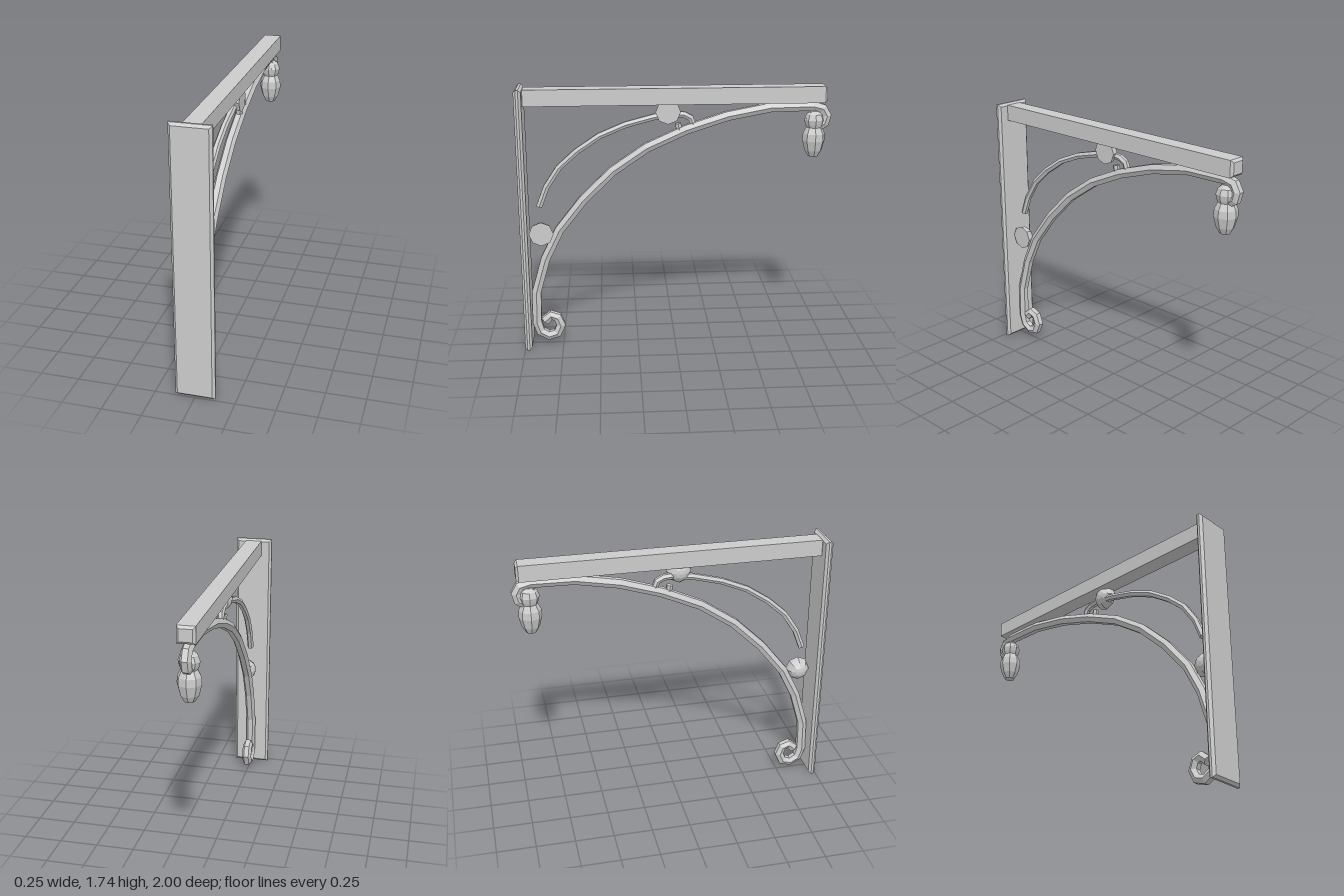
import * as THREE from 'three';

const material = new THREE.MeshStandardMaterial({ color: 0xcccccc, flatShading: true, side: THREE.DoubleSide });

function add(parent, name, geometry, x = 0, y = 0, z = 0) {
  const mesh = new THREE.Mesh(geometry, material);
  mesh.name = name;
  mesh.position.set(x, y, z);
  parent.add(mesh);
  return mesh;
}

// Box with a single chamfer on every edge, centred on its origin
function chamferBox(w, h, d, b) {
  const x = w / 2 - b, y = h / 2 - b;
  const shape = new THREE.Shape([[-x, -y], [x, -y], [x, y], [-x, y]].map(p => new THREE.Vector2(...p)));
  return new THREE.ExtrudeGeometry(shape, {
    depth: d - 2 * b, bevelThickness: b, bevelSize: b, bevelSegments: 1,
  }).translate(0, 0, b - d / 2);
}

// Hexagonal bar bent through [z, y] points, one segment per point, with closed ends
function bentBar(parent, name, points, radius) {
  const bar = new THREE.Group();
  bar.name = name;
  parent.add(bar);
  const curve = new THREE.CatmullRomCurve3(points.map(([z, y]) => new THREE.Vector3(0, y, z)));
  curve.getUtoTmapping = u => u;
  add(bar, name + 'Bar', new THREE.TubeGeometry(curve, points.length - 1, radius, 6));
  for (const t of [0, 1]) {
    const p = curve.getPoint(t);
    const cap = add(bar, name + 'End', new THREE.CircleGeometry(radius, 6), p.x, p.y, p.z);
    cap.lookAt(p.clone().addScaledVector(curve.getTangent(t), t ? 1 : -1));
  }
}

export function createModel() {
  const model = new THREE.Group();
  model.name = 'wallBracket';

  // Wall plate and horizontal arm
  add(model, 'wallPlate', chamferBox(0.25, 1.735, 0.047, 0.016), 0, 0.8675, 0.9765);
  add(model, 'arm', chamferBox(0.11, 0.105, 1.93, 0.015), 0, 1.672, 0);

  // Large brace: lower scroll, long sweep, upper scroll
  bentBar(model, 'mainScroll', [
    [0.871, 0.16], [0.828, 0.198], [0.785, 0.182], [0.764, 0.128], [0.79, 0.07], [0.845, 0.053],
    [0.9, 0.085], [0.922, 0.155], [0.917, 0.37], [0.85, 0.6], [0.753, 0.797], [0.592, 1.0],
    [0.4, 1.187], [0.18, 1.337], [-0.07, 1.45], [-0.335, 1.535], [-0.61, 1.587], [-0.88, 1.592],
    [-0.945, 1.575], [-0.97, 1.53], [-0.957, 1.482], [-0.92, 1.46], [-0.88, 1.472], [-0.865, 1.51],
    [-0.888, 1.542],
  ], 0.034);

  // Thin inner scroll
  bentBar(model, 'innerScroll', [
    [0.877, 0.957], [0.828, 1.085], [0.743, 1.214], [0.625, 1.32], [0.48, 1.417], [0.314, 1.487],
    [0.131, 1.535], [0.0, 1.553], [-0.06, 1.547], [-0.1, 1.525], [-0.115, 1.487], [-0.095, 1.45],
    [-0.056, 1.436], [-0.026, 1.452], [-0.02, 1.492],
  ], 0.022);

  // Half-round bosses, flat side to the left
  for (const [y, z] of [[0.78, 0.87], [1.572, 0.045]]) {
    const boss = new THREE.Group();
    boss.name = 'boss';
    boss.position.set(0.04, y, z);
    boss.rotation.z = Math.PI / 2;
    add(boss, 'bossDome', new THREE.SphereGeometry(0.08, 8, 4, 0, Math.PI * 2, 0, Math.PI / 2));
    add(boss, 'bossFace', new THREE.CircleGeometry(0.08, 8).rotateX(Math.PI / 2));
    model.add(boss);
  }

  // Hanging drop at the tip
  const profile = [
    [0, 1.265], [0.033, 1.265], [0.056, 1.305], [0.073, 1.37], [0.07, 1.415], [0.05, 1.455],
    [0.058, 1.475], [0.065, 1.505], [0.052, 1.54], [0.025, 1.56], [0.015, 1.595], [0, 1.595],
  ].map(p => new THREE.Vector2(...p));
  add(model, 'pendant', new THREE.LatheGeometry(profile, 8), 0, 0, -0.893);

  return model;
}
